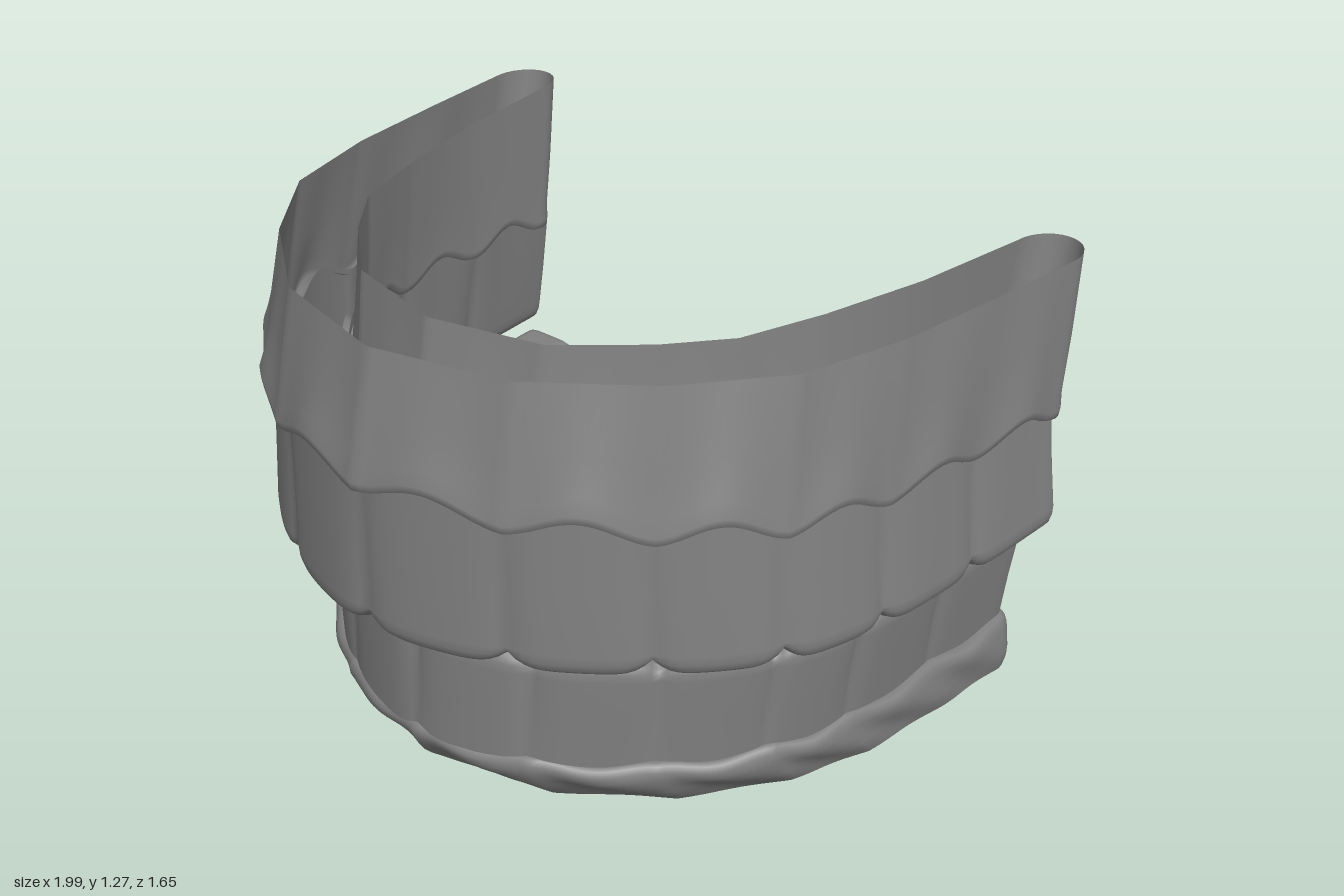
import * as THREE from 'three';

const material = new THREE.MeshStandardMaterial({ color: 0x808080, side: THREE.DoubleSide });
const TEETH = 6; // per side
const DETAIL = 16; // stations per tooth
const wave = s => Math.sin(Math.PI * s) ** 2; // 0 between teeth, 1 at mid tooth
// 1 between teeth, 0 elsewhere and at the back ends
const groove = s => Math.abs(s) > TEETH - 0.5 ? 0 : (1 - Math.abs(Math.sin(Math.PI * s))) ** 3;

// An arch through [x, z] points of one half, mirrored; s runs -6 (right back) .. 6 (left back)
function arch(half, smooth = false, squeeze = 1) {
  const pts = [...half.slice(1).reverse().map(([x, z]) => [-x, z]), ...half]
    .map(([x, z]) => new THREE.Vector3(x * squeeze, 0, z));
  const curve = new THREE.CatmullRomCurve3(pts);
  return s => {
    if (smooth) return curve.getPoint((s + TEETH) / (2 * TEETH));
    const i = Math.min(Math.floor(s + TEETH), 2 * TEETH - 1);
    return pts[i].clone().lerp(pts[i + 1], s + TEETH - i);
  };
}

// Skin over closed loops of equal length, listed from bottom to top
function loft(name, loops) {
  const n = loops[0].length, index = [];
  for (let j = 0; j < loops.length - 1; j++) {
    for (let i = 0; i < n; i++) {
      const a = j * n + i, b = j * n + (i + 1) % n;
      index.push(a, b, b + n, a, b + n, a + n);
    }
  }
  const geometry = new THREE.BufferGeometry().setFromPoints(loops.flat());
  geometry.setIndex(index);
  geometry.computeVertexNormals();
  const mesh = new THREE.Mesh(geometry, material);
  mesh.name = name;
  return mesh;
}

// Band around the arch with rounded back ends (power 1 = semicircle, smaller = squarer).
// Layer: height y(|s|), blend t from low to high arches, inset, inset of the back ends,
// outer bulge per tooth and its shift along the arch, pinch between teeth, width (0 closes the band)
function band(name, low, high, power, layers) {
  const steps = DETAIL * 2 * TEETH, ends = 14, path = [];
  const turn = (s, k) => {
    const a = k / ends * Math.PI, c = Math.cos(a);
    path.push([s, Math.sign(c) * Math.abs(c) ** power, Math.sin(a) ** power]);
  };
  for (let k = 0; k <= steps; k++) path.push([k / DETAIL - TEETH, 1, 0]);
  for (let k = 1; k < ends; k++) turn(TEETH, k);
  for (let k = steps; k >= 0; k--) path.push([k / DETAIL - TEETH, -1, 0]);
  for (let k = ends - 1; k > 0; k--) turn(-TEETH, k);
  return loft(name, layers.map(({ y, t, inset = 0, back = inset, bulge = 0, shift = 0, pinch = 0, width = 1 }) => path.map(([s, v, e]) => {
    const out = low.outer(s).lerp(high.outer(s), t), inn = low.inner(s).lerp(high.inner(s), t);
    const across = out.clone().sub(inn).normalize();
    const side = v * width, swell = Math.max(0, side) * bulge * wave(Math.abs(s) - shift);
    const p = inn.lerp(out, 0.5 + 0.5 * side).addScaledVector(across, swell - (pinch * groove(s) + inset) * side);
    p.z -= e * (low.end + (high.end - low.end) * t - back);
    p.y = y(Math.abs(s));
    return p;
  })));
}

export function createModel() {
  const model = new THREE.Group();
  const upper = new THREE.Group(), lower = new THREE.Group();
  upper.name = 'upperJaw';
  lower.name = 'lowerJaw';
  model.add(upper, lower);

  const lip = s => 0.925 - 0.012 * s + 0.052 * wave(s); // upper gum line
  const ridge = s => 0.147 + 0.002 * s - 0.014 * wave(s); // lower gum line

  // A row of teeth: from the gum line (root) to the rounded, notched biting edge
  const row = (name, out, inn, root, bite, squeezeOut, squeezeIn) => {
    const crown = { outer: arch(out, true), inner: arch(inn), end: 0.05 };
    const neck = { outer: arch(out, true, squeezeOut), inner: arch(inn, false, squeezeIn), end: 0.05 };
    const up = Math.sign(bite - root(0));
    const edge = (drop, notch) => s => bite - up * (drop + notch * groove(s));
    const layers = [
      { y: root, t: 0, pinch: 0.004 },
      { y: s => root(s) * 0.5 + bite * 0.5, t: 0.5, pinch: 0.014 },
      { y: edge(0.06, 0), t: 0.9, pinch: 0.016 },
      { y: edge(0.035, 0.012), t: 0.94, inset: 0.002, pinch: 0.018 },
      { y: edge(0.016, 0.025), t: 0.97, inset: 0.008, pinch: 0.02 },
      { y: edge(0.004, 0.033), t: 1, inset: 0.02, pinch: 0.018 },
      { y: edge(0, 0.033), t: 1, inset: 0.034, pinch: 0.01 },
      { y: edge(0, 0.03), t: 1, inset: 0.045 },
      { y: edge(0, 0.03), t: 1, inset: 0.045, width: 0 },
    ];
    return band(name, neck, crown, 0.4, up > 0 ? layers : layers.reverse());
  };

  upper.add(row('upperTeeth',
    [[0, 0.805], [0.37, 0.705], [0.655, 0.5], [0.86, 0.25], [0.95, -0.03], [0.985, -0.37], [1.0, -0.68]],
    [[0, 0.63], [0.29, 0.55], [0.53, 0.37], [0.7, 0.15], [0.77, -0.07], [0.8, -0.39], [0.82, -0.68]],
    s => lip(s) + 0.035, 0.52, 0.95, 0.95));
  lower.add(row('lowerTeeth',
    [[0, 0.65], [0.32, 0.57], [0.58, 0.38], [0.76, 0.14], [0.84, -0.1], [0.87, -0.43], [0.89, -0.71]],
    [[0, 0.51], [0.27, 0.445], [0.48, 0.28], [0.625, 0.07], [0.68, -0.13], [0.695, -0.43], [0.705, -0.71]],
    s => ridge(s) - 0.02, 0.465, 0.96, 0.995));

  // Upper gum: scalloped lip below, open rim above
  const rim = 1.275;
  upper.add(band('upperGum', {
    outer: arch([[0, 0.825], [0.38, 0.72], [0.665, 0.515], [0.86, 0.27], [0.94, -0.02], [0.965, -0.36], [0.99, -0.68]]),
    inner: arch([[0, 0.615], [0.285, 0.535], [0.49, 0.355], [0.655, 0.14], [0.72, -0.07], [0.75, -0.38], [0.77, -0.68]]),
    end: 0.075,
  }, {
    outer: arch([[0, 0.75], [0.36, 0.66], [0.63, 0.45], [0.82, 0.21], [0.9, -0.09], [0.94, -0.42], [0.97, -0.72]]),
    inner: arch([[0, 0.555], [0.3, 0.48], [0.49, 0.31], [0.61, 0.16], [0.685, -0.07], [0.755, -0.37], [0.8, -0.72]]),
    end: 0.105,
  }, 1, [
    { y: s => lip(s) + 0.02, t: 0, inset: 0.04, bulge: 0.012 },
    { y: s => lip(s) - 0.005, t: 0, inset: 0.015, bulge: 0.018 },
    { y: s => lip(s), t: 0, inset: 0.004, bulge: 0.018 },
    { y: s => lip(s) + 0.02, t: 0.03, inset: 0.001, bulge: 0.018 },
    { y: s => lip(s) + 0.06, t: 0.15, inset: 0.004, bulge: 0.015 },
    { y: s => lip(s) * 0.5 + rim * 0.5, t: 0.5, bulge: 0.006 },
    { y: () => rim, t: 1 },
  ]));

  // Lower gum: open base, slanting ridges, soft roll around the teeth
  lower.add(band('lowerGum', {
    outer: arch([[0, 0.56], [0.32, 0.48], [0.57, 0.29], [0.74, 0.04], [0.82, -0.19], [0.855, -0.48], [0.875, -0.73]]),
    inner: arch([[0, 0.38], [0.29, 0.33], [0.47, 0.15], [0.61, -0.01], [0.655, -0.2], [0.675, -0.48], [0.69, -0.73]]),
    end: 0.085,
  }, {
    outer: arch([[0, 0.662], [0.325, 0.58], [0.585, 0.39], [0.755, 0.14], [0.825, -0.1], [0.86, -0.43], [0.88, -0.73]]),
    inner: arch([[0, 0.485], [0.26, 0.42], [0.46, 0.26], [0.6, 0.05], [0.655, -0.14], [0.672, -0.44], [0.685, -0.73]]),
    end: 0.085,
  }, 1, [
    { y: () => 0, t: 0, bulge: 0.006, shift: 0.6 },
    { y: s => ridge(s) * 0.2, t: 0.26, bulge: 0.013, shift: 0.48 },
    { y: s => ridge(s) * 0.4, t: 0.54, bulge: 0.016, shift: 0.34 },
    { y: s => ridge(s) * 0.6, t: 0.8, bulge: 0.016, shift: 0.18 },
    { y: s => ridge(s) * 0.78, t: 0.97, bulge: 0.016, shift: 0.06 },
    { y: s => ridge(s) * 0.92, t: 1, inset: 0.003, back: 0.012, bulge: 0.016 },
    { y: s => ridge(s) * 1.02, t: 1, inset: 0.011, back: 0.028, bulge: 0.016 },
    { y: s => ridge(s) * 1.06, t: 1, inset: 0.022, back: 0.045, bulge: 0.014 },
    { y: s => ridge(s) * 1.04, t: 1, inset: 0.045, back: 0.07, bulge: 0.01 },
  ]));
  return model;
}
